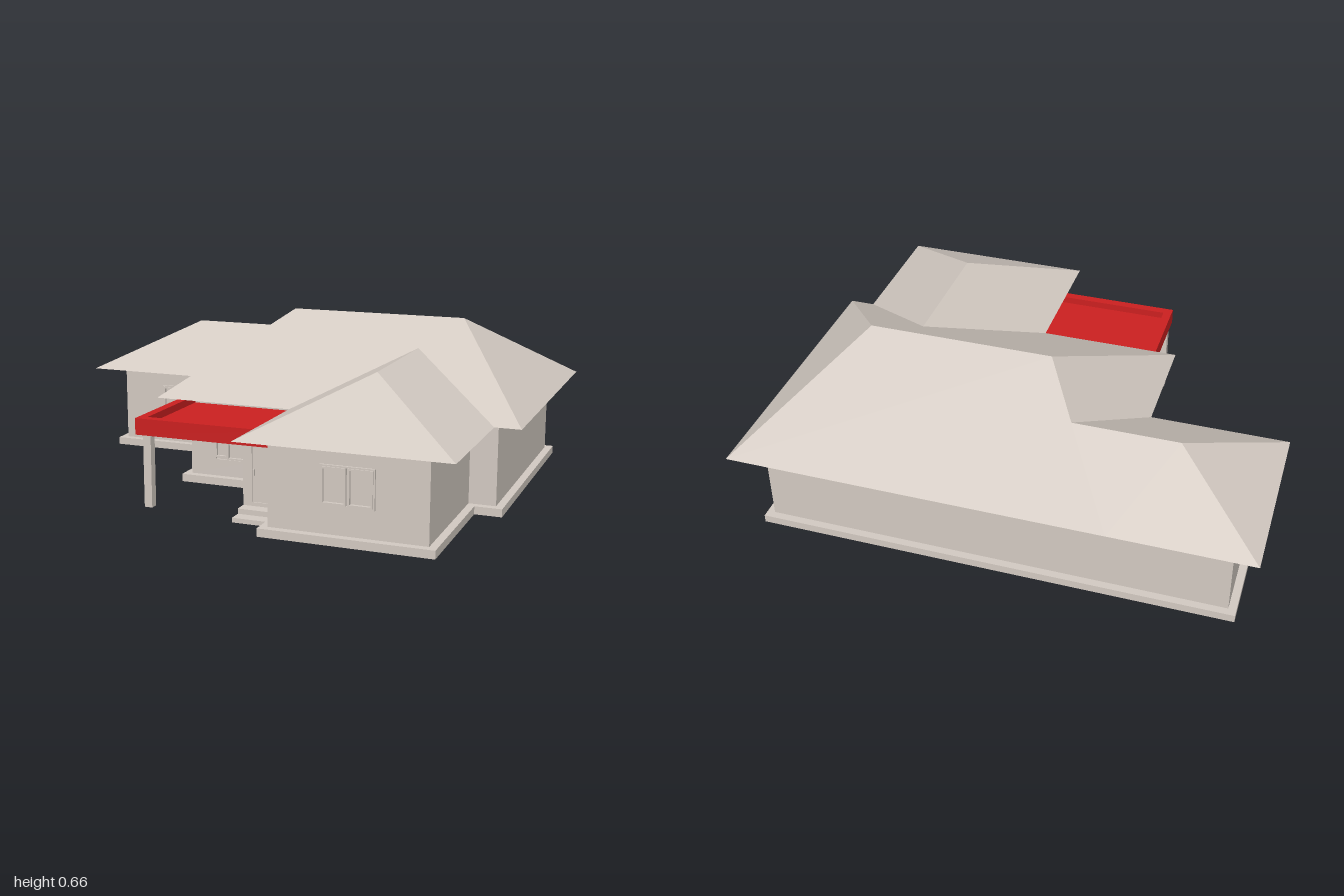
import * as THREE from 'three';

export function createModel() {
  const house = new THREE.Group();
  house.name = 'house';
  const plaster = new THREE.MeshStandardMaterial({ color: 0xd3cac2 });
  plaster.name = 'beige plaster';
  const red = new THREE.MeshStandardMaterial({ color: 0xcc2020 });
  red.name = 'red canopy';

  // Box given by its extents on each axis
  function box(name, x0, x1, y0, y1, z0, z1, mat = plaster, parent = house) {
    const mesh = new THREE.Mesh(new THREE.BoxGeometry(x1 - x0, y1 - y0, z1 - z0), mat);
    mesh.position.set((x0 + x1) / 2, (y0 + y1) / 2, (z0 + z1) / 2);
    mesh.name = name;
    parent.add(mesh);
    return mesh;
  }

  // Flat convex panels; each is turned to face up (dir 1) or down (dir -1)
  function panels(name, polys, dir) {
    const out = [];
    for (const poly of polys) {
      const p = poly.map((c) => new THREE.Vector3(...c));
      const n = p[1].clone().sub(p[0]).cross(p[2].clone().sub(p[0]));
      if (n.y * dir < 0) p.reverse();
      for (let i = 1; i < p.length - 1; i++) {
        for (const v of [p[0], p[i], p[i + 1]]) out.push(v.x, v.y, v.z);
      }
    }
    const geo = new THREE.BufferGeometry();
    geo.setAttribute('position', new THREE.Float32BufferAttribute(out, 3));
    geo.computeVertexNormals();
    const mesh = new THREE.Mesh(geo, plaster);
    mesh.name = name;
    house.add(mesh);
  }

  // Walls and plinths: main block, left wing, front wing
  const E = 0.36, PL = 0.035, B = 0.03;
  const blocks = [
    ['main', -0.36, 0.895, -0.745, 0.205],
    ['sideWing', -0.9, -0.36, -0.745, -0.24],
    ['frontWing', 0.2, 0.79, 0.205, 0.745],
  ];
  for (const [name, x0, x1, z0, z1] of blocks) {
    const front = name === 'frontWing', side = name === 'sideWing';
    box(name + 'Walls', x0, x1, PL, E, z0, z1);
    box(name + 'Plinth', x0 - B, side ? x1 - B : x1 + B, 0.004, PL, front ? z1 - 0.51 : z0 - B, z1 + B);
  }

  // Hipped roofs
  const at = (y) => ([x, z]) => [x, y, z];
  const e = at(E), top = at(0.66), mid = at(0.545), low = at(0.56);
  const mL = top([-0.095, -0.27]), mR = top([0.635, -0.27]);
  panels('mainRoof', [
    [e([-0.46, 0.305]), e([1, 0.305]), mR, mL],
    [e([-0.46, -0.85]), e([1, -0.85]), mR, mL],
    [e([1, -0.85]), e([1, 0.305]), mR],
    [e([-0.46, -0.85]), e([-0.46, 0.305]), mL],
  ], 1);
  const sL = mid([-0.645, -0.495]), sR = mid([-0.235, -0.495]);
  panels('sideWingRoof', [
    [e([-1, -0.85]), e([-0.46, -0.85]), sR, sL],
    [e([-1, -0.14]), e([-0.46, -0.14]), sR, sL],
    [e([-1, -0.85]), e([-1, -0.14]), sL],
  ], 1);
  const fF = low([0.502, 0.445]), fB = low([0.502, -0.08]);
  panels('frontWingRoof', [
    [e([0.105, 0.845]), e([0.105, 0.305]), fB, fF],
    [e([0.9, 0.845]), e([0.9, 0.305]), fB, fF],
    [e([0.105, 0.845]), e([0.9, 0.845]), fF],
  ], 1);

  // Flat undersides of the eaves
  const rect = (x0, x1, z0, z1) => [[x0, z0], [x1, z0], [x1, z1], [x0, z1]].map(e);
  panels('soffit', [
    rect(-0.46, 1, -0.85, 0.305),
    rect(-1, -0.46, -0.85, -0.14),
    rect(0.105, 0.9, 0.305, 0.845),
  ], -1);

  // Porch canopy: recessed deck with a raised rim, on one post
  box('canopyDeck', -0.34, 0.2, 0.295, 0.33, 0.205, 0.61, red);
  box('canopyFrontRim', -0.375, 0.2, 0.295, 0.358, 0.61, 0.645, red);
  box('canopySideRim', -0.375, -0.34, 0.295, 0.358, 0.205, 0.61, red);
  box('canopyPost', -0.372, -0.34, 0, 0.295, 0.56, 0.592);

  // Entrance lobby with door and steps
  box('entranceLobby', 0.02, 0.2, 0.04, 0.295, 0.205, 0.55);
  box('lowerStep', 0.02, 0.2, 0.002, 0.02, 0.205, 0.652);
  box('upperStep', 0.02, 0.2, 0.02, 0.04, 0.205, 0.6);

  // Border of four bars, centred on local z = 0
  function frame(name, parent, x0, x1, y0, y1, t, d) {
    box(name, x0, x0 + t, y0, y1, 0, d, plaster, parent);
    box(name, x1 - t, x1, y0, y1, 0, d, plaster, parent);
    box(name, x0 + t, x1 - t, y0, y0 + t, 0, d, plaster, parent);
    box(name, x0 + t, x1 - t, y1 - t, y1, 0, d, plaster, parent);
  }

  const door = new THREE.Group();
  door.name = 'frontDoor';
  door.position.z = 0.55;
  frame('doorFrame', door, 0.052, 0.192, 0.05, 0.28, 0.008, 0.01);
  box('doorLeaf', 0.06, 0.184, 0.058, 0.272, 0, 0.005, plaster, door);
  box('doorHandle', 0.064, 0.07, 0.16, 0.185, 0, 0.015, plaster, door);
  house.add(door);

  // Window: outer frame with a raised sash around each pane
  function windowUnit(name, x0, x1, y0, y1, z, sashes) {
    const g = new THREE.Group();
    g.name = name;
    g.position.z = z;
    frame('windowFrame', g, x0, x1, y0, y1, 0.006, 0.008);
    for (const [a, b, c] of sashes) frame('windowSash', g, a, b, c, y1 - 0.006, 0.007, 0.012);
    house.add(g);
    return g;
  }
  windowUnit('porchWindow', -0.255, -0.055, 0.1, 0.287, 0.205,
    [[-0.25, -0.198, 0.115], [-0.198, -0.115, 0.108], [-0.115, -0.062, 0.115]]);
  windowUnit('frontWingWindow', 0.397, 0.598, 0.14, 0.287, 0.745,
    [[0.403, 0.494, 0.146], [0.501, 0.592, 0.146]]);
  windowUnit('sideWingWindow', -0.715, -0.583, 0.185, 0.287, -0.24, [[-0.709, -0.589, 0.191]]);
  const end = windowUnit('endWallWindow', -0.1, 0.1, 0.14, 0.287, -0.5,
    [[-0.094, -0.003, 0.146], [0.003, 0.094, 0.146]]);
  end.position.x = -0.9;
  end.rotation.y = -Math.PI / 2;

  return house;
}
